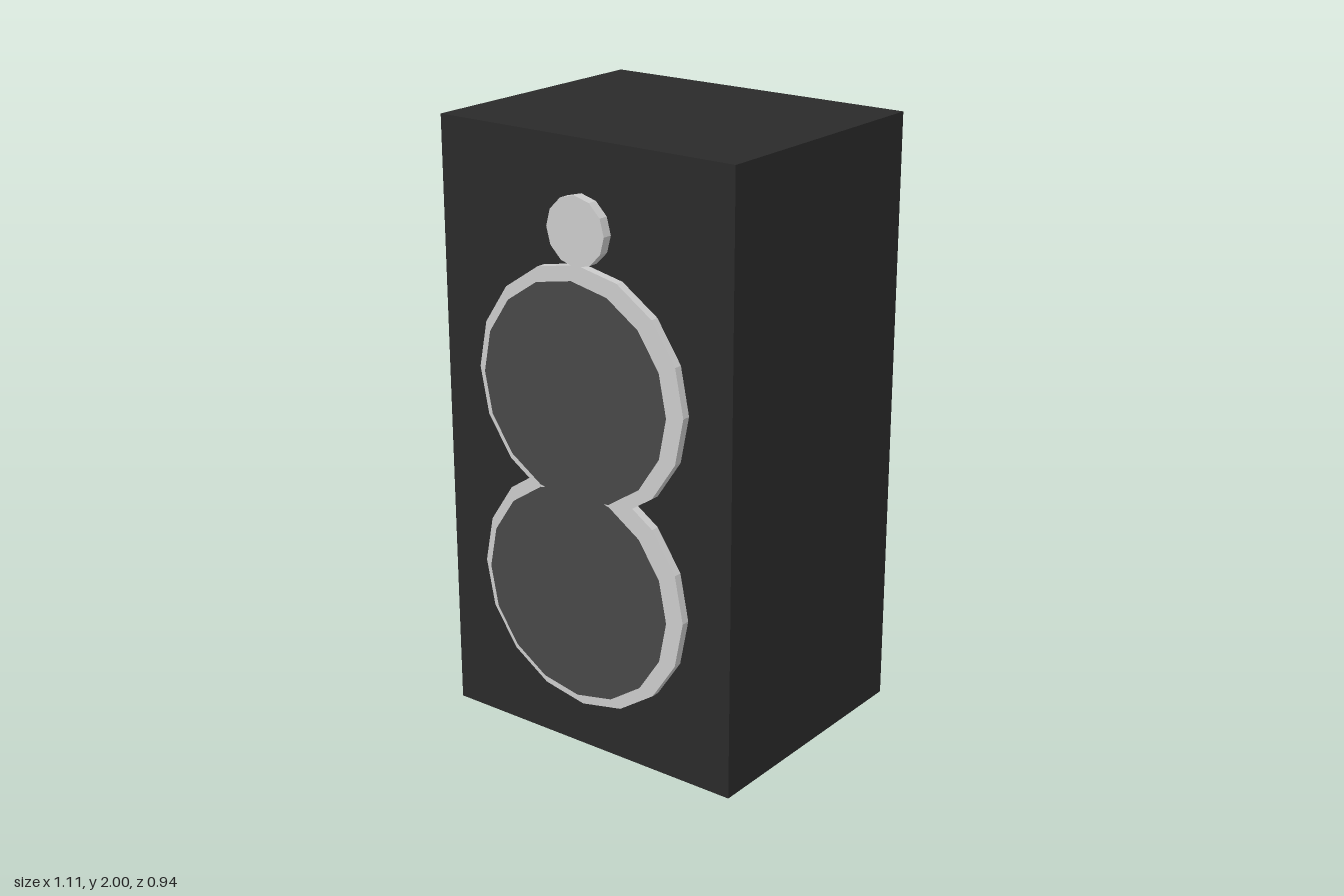
import * as THREE from 'three';

const FRONT = 0.415; // z of the cabinet's front panel

export function createModel() {
  const group = new THREE.Group();
  const mat = (color) => new THREE.MeshStandardMaterial({ color, flatShading: true });
  const dark = mat(0x2a2a2a), coneGrey = mat(0x484848), metal = mat(0xcccccc);

  // Disc facing +z, standing between z0 and z1
  function disc(name, rFront, rBack, sides, y, z0, z1, material) {
    const geo = new THREE.CylinderGeometry(rFront, rBack, z1 - z0, sides).rotateX(Math.PI / 2);
    const mesh = new THREE.Mesh(geo, material);
    mesh.name = name;
    mesh.position.set(0, y, (z0 + z1) / 2);
    group.add(mesh);
  }

  // Cabinet
  const cabinet = new THREE.Mesh(new THREE.BoxGeometry(1.11, 2, 0.885), dark);
  cabinet.name = 'cabinet';
  cabinet.position.set(0, 1, -0.0275);
  group.add(cabinet);

  // Two woofers: a rim with a cone flaring forward out of it
  [['upper', 1.224], ['lower', 0.56]].forEach(([side, y]) => {
    disc(side + 'WooferRim', 0.398, 0.398, 16, y, FRONT, 0.443, metal);
    disc(side + 'WooferCone', 0.355, 0.15, 16, y, FRONT, 0.47, coneGrey);
  });

  // Tweeter
  disc('tweeter', 0.11, 0.11, 12, 1.725, FRONT, 0.448, metal);

  return group;
}
